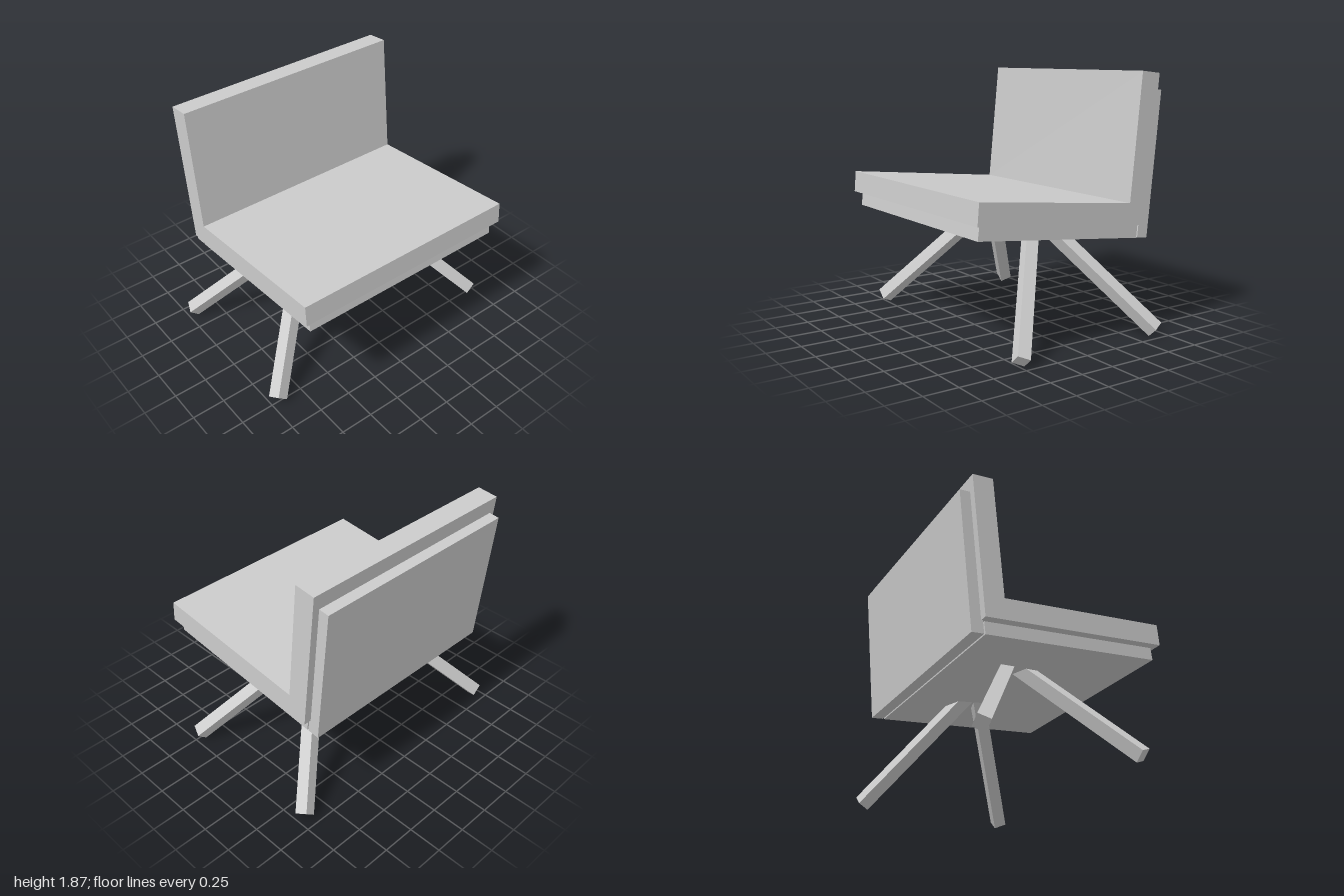
import * as THREE from 'three';
import { ConvexGeometry } from 'three/addons/geometries/ConvexGeometry.js';

const material = new THREE.MeshStandardMaterial({ color: 0xcccccc, flatShading: true });

// Side profile of [z, y] points, swept across the width of the chair
function profilePart(name, points, width) {
  const shape = new THREE.Shape(points.map(([z, y]) => new THREE.Vector2(z, y)));
  const geometry = new THREE.ExtrudeGeometry(shape, { depth: width, bevelEnabled: false });
  geometry.translate(0, 0, -width / 2).rotateY(-Math.PI / 2);
  const mesh = new THREE.Mesh(geometry, material);
  mesh.name = name;
  return mesh;
}

// Square splayed bar: end face at the foot, run along its axis and cut level inside the seat panel
function leg(name, sideX, sideZ) {
  const middleZ = -0.08, topY = 0.79;
  const axis = new THREE.Vector3(-1, 1.18, -0.85);
  const foot = [[1, 0.067, 0.465], [0.97, 0.1, 0.545], [0.93, 0.005, 0.465], [0.9, 0.038, 0.545]]
    .map((p) => new THREE.Vector3(...p));
  const top = foot.map((p) => p.clone().addScaledVector(axis, (topY - p.y) / axis.y));
  const corners = [...foot, ...top].map((p) =>
    new THREE.Vector3(sideX * p.x, p.y, middleZ + sideZ * (p.z - middleZ)));
  const mesh = new THREE.Mesh(new ConvexGeometry(corners), material);
  mesh.name = name;
  return mesh;
}

export function createModel() {
  const group = new THREE.Group();
  group.name = 'loungeChair';

  // One-piece upholstered seat and back
  group.add(profilePart('cushion', [
    [0.77, 1.095], [0.783, 0.94], [-0.605, 0.802], [-0.713, 1.857], [-0.557, 1.873], [-0.467, 0.971],
  ], 1.75));

  // Shell panels under the seat and behind the back
  group.add(profilePart('seatPanel', [
    [0.738, 0.928], [0.75, 0.838], [-0.577, 0.706], [-0.587, 0.796],
  ], 1.65));
  group.add(profilePart('backPanel', [
    [-0.587, 0.707], [-0.677, 0.698], [-0.782, 1.738], [-0.704, 1.746], [-0.61, 0.802], [-0.597, 0.8],
  ], 1.65));

  // Four splayed legs, mirrored left to right and front to back
  for (const [sideName, sx] of [['Left', 1], ['Right', -1]]) {
    group.add(leg('front' + sideName + 'Leg', sx, 1));
    group.add(leg('back' + sideName + 'Leg', sx, -1));
  }
  return group;
}
